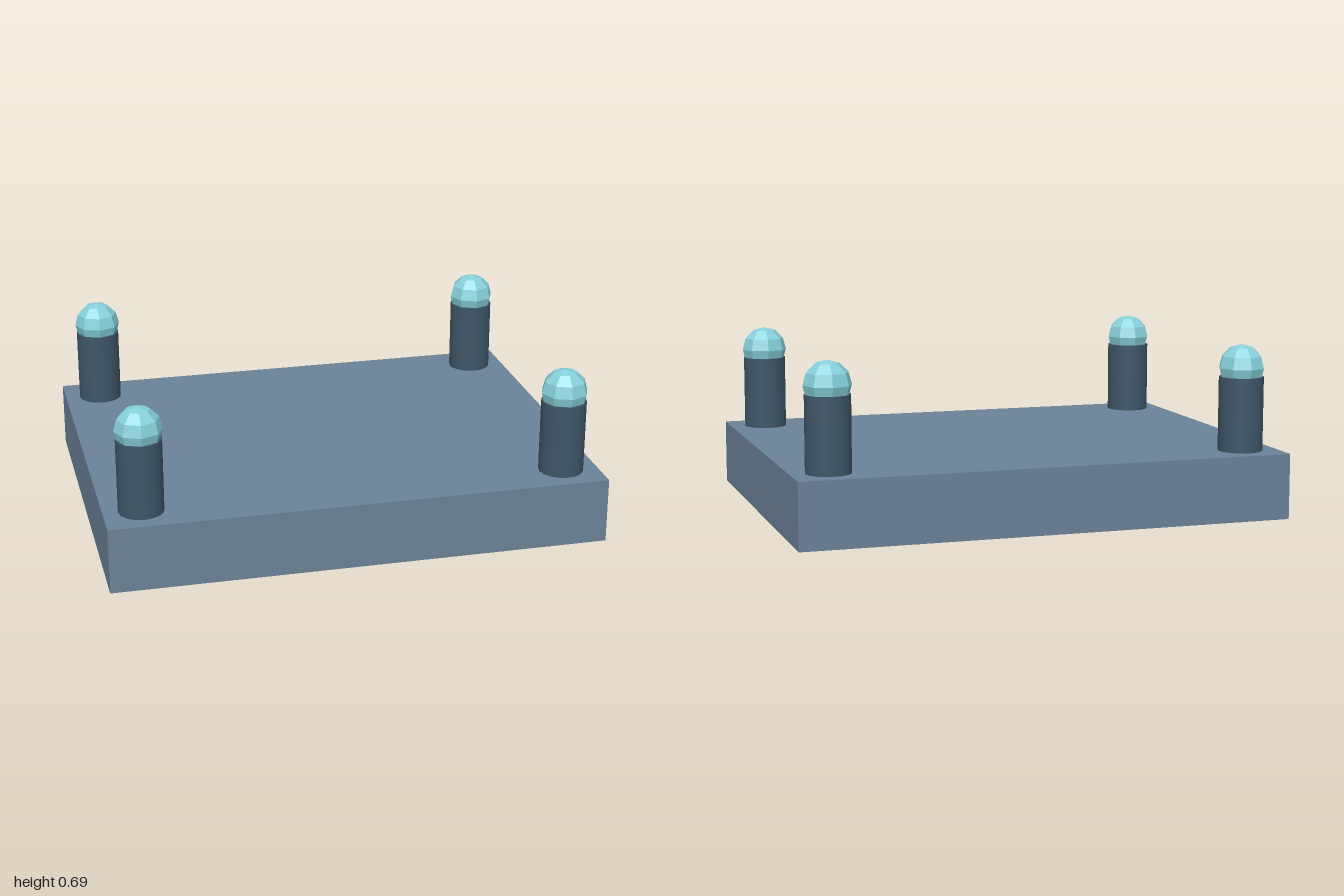
import * as THREE from 'three';

const slabBlue = new THREE.MeshStandardMaterial({ color: 0x6b8298 });
slabBlue.name = 'slate blue';
const postBlue = new THREE.MeshStandardMaterial({ color: 0x3f5668 });
postBlue.name = 'dark slate';
const capTeal = new THREE.MeshStandardMaterial({ color: 0x86d0da, flatShading: true });
capTeal.name = 'pale teal';

function addPart(parent, name, geometry, material, y) {
  const mesh = new THREE.Mesh(geometry, material);
  mesh.name = name;
  mesh.position.y = y;
  parent.add(mesh);
}

export function createModel() {
  const model = new THREE.Group();
  model.name = 'platform';

  // Base slab
  const top = 0.265;
  addPart(model, 'slab', new THREE.BoxGeometry(2, top, 1.53), slabBlue, top / 2);

  // Corner posts, each with a faceted ball on top
  const postTop = 0.565;
  const postGeometry = new THREE.CylinderGeometry(0.09, 0.09, postTop - top, 16);
  const ballGeometry = new THREE.SphereGeometry(0.095, 8, 6);
  for (const x of [-0.85, 0.85]) {
    for (const z of [-0.615, 0.615]) {
      const corner = new THREE.Group();
      corner.name = `${z > 0 ? 'front' : 'back'}${x > 0 ? 'Left' : 'Right'}Post`;
      corner.position.set(x, 0, z);
      addPart(corner, 'post', postGeometry, postBlue, (top + postTop) / 2);
      addPart(corner, 'ball', ballGeometry, capTeal, 0.6);
      model.add(corner);
    }
  }
  return model;
}
